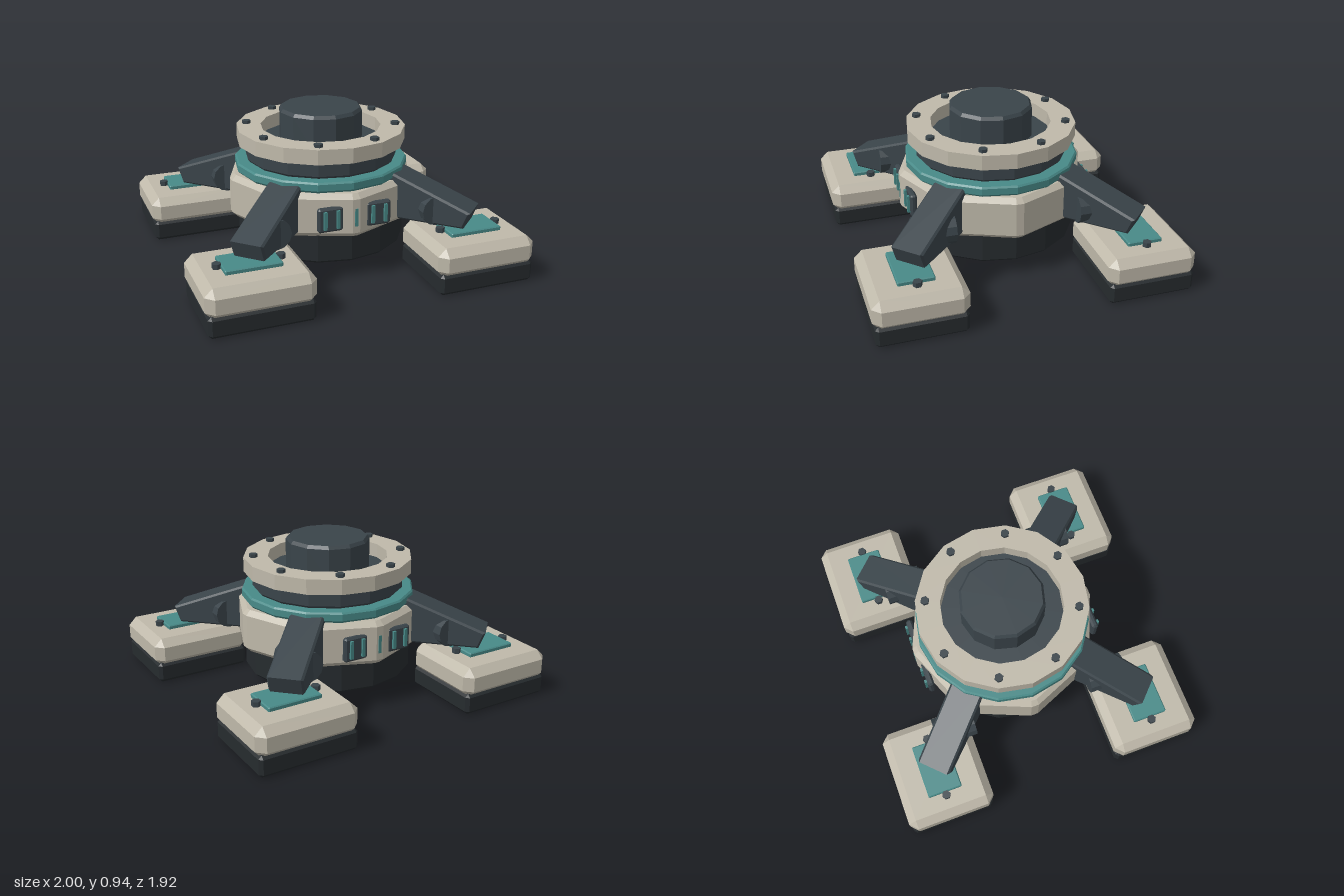
import * as THREE from 'three';
import { ConvexGeometry } from 'three/addons/geometries/ConvexGeometry.js';

const mat = (color) => new THREE.MeshStandardMaterial({ color, flatShading: true });

export function createModel() {
  const model = new THREE.Group();
  const beige = mat(0xbfb9aa), dark = mat(0x3a444a), black = mat(0x262b2e), teal = mat(0x488a88);

  const add = (name, geometry, material, x = 0, y = 0, z = 0, parent = model) => {
    const mesh = new THREE.Mesh(geometry, material);
    mesh.name = name;
    mesh.position.set(x, y, z);
    parent.add(mesh);
    return mesh;
  };

  // Box with every edge and corner chamfered
  const chamferBox = (w, h, d, b) => {
    const points = [];
    for (const sx of [-1, 1]) for (const sy of [-1, 1]) for (const sz of [-1, 1]) {
      for (let axis = 0; axis < 3; axis++) {
        const inset = [b, b, b];
        inset[axis] = 0;
        points.push(new THREE.Vector3(
          sx * (w / 2 - inset[0]), sy * (h / 2 - inset[1]), sz * (d / 2 - inset[2])));
      }
    }
    return new ConvexGeometry(points);
  };

  // Faceted turned part from [radius, height] pairs, bottom to top
  const turned = (profile, sides) =>
    new THREE.LatheGeometry(profile.map(([r, y]) => new THREE.Vector2(r, y)), sides);

  const bolt = new THREE.CylinderGeometry(0.027, 0.027, 0.03, 6);

  // Central column
  add('baseDrum', turned([[0, 0.105], [0.51, 0.105], [0.525, 0.12], [0.525, 0.29], [0, 0.29]], 16), black);

  // Eight-sided hull with narrow bevelled corners
  const outline = [];
  for (let i = 0; i < 8; i++) for (const side of [-1, 1]) {
    const a = i * Math.PI / 4 + side * 0.04;
    outline.push(new THREE.Vector2(Math.cos(a) * 0.588, Math.sin(a) * 0.588));
  }
  const hull = new THREE.ExtrudeGeometry(new THREE.Shape(outline), {
    depth: 0.21, bevelEnabled: true, bevelSegments: 1,
    bevelThickness: 0.03, bevelSize: 0.03, bevelOffset: -0.03,
  });
  hull.rotateX(-Math.PI / 2);
  add('hull', hull, beige, 0, 0.315, 0);

  add('tealCollar', turned([[0, 0.53], [0.5, 0.53], [0.54, 0.57], [0.54, 0.61], [0.53, 0.62], [0, 0.62]], 16), teal);
  add('neck', turned([[0, 0.615], [0.455, 0.615], [0.473, 0.635], [0.473, 0.73], [0, 0.73]], 16), dark);
  add('topRing', turned([[0.374, 0.725], [0.525, 0.725], [0.525, 0.817], [0.374, 0.817], [0.374, 0.725]], 16), beige);
  add('cap', turned([[0.26, 0.72], [0.26, 0.915], [0.245, 0.935], [0, 0.935]], 12), dark);

  for (let i = 0; i < 8; i++) {
    const a = (i + 0.5) * Math.PI / 4;
    add('ringBolt', bolt, dark, Math.cos(a) * 0.463, 0.822, Math.sin(a) * 0.463);
  }

  // Vents on front and back
  const frame = chamferBox(0.16, 0.15, 0.04, 0.012);
  const slit = new THREE.BoxGeometry(0.02, 0.11, 0.04);
  for (const s of [-1, 1]) {
    for (const x of [-0.15, 0.15]) {
      add('ventFrame', frame, dark, x, 0.41, s * 0.55);
      for (const dx of [-0.04, 0.04]) add('ventSlit', slit, teal, x + dx, 0.413, s * 0.565);
    }
    add('centreSlit', slit, teal, 0, 0.413, s * 0.57);
  }

  // Leg side profile, along radius and height
  const legShape = new THREE.Shape([
    [0.42, 0.4], [0.56, 0.31], [0.966, 0.31], [1.005, 0.412], [0.46, 0.618], [0.42, 0.618],
  ].map(([r, y]) => new THREE.Vector2(r, y)));
  const legGeometry = new THREE.ExtrudeGeometry(legShape, {
    depth: 0.184, bevelEnabled: true, bevelSegments: 1,
    bevelThickness: 0.012, bevelSize: 0.012, bevelOffset: -0.012,
  });
  legGeometry.translate(0, 0, -0.092);

  const pivot = new THREE.CylinderGeometry(0.093, 0.093, 0.245, 12);
  pivot.rotateX(Math.PI / 2);
  const footTop = chamferBox(0.63, 0.185, 0.55, 0.048);
  const footSole = chamferBox(0.61, 0.13, 0.53, 0.02);
  const plate = chamferBox(0.33, 0.03, 0.215, 0.006);

  // Four legs with feet
  for (const sx of [-1, 1]) for (const sz of [-1, 1]) {
    const assembly = new THREE.Group();
    assembly.name = 'legAssembly';
    model.add(assembly);
    const x = sx * 0.685, z = sz * 0.685;
    const leg = add('leg', legGeometry, dark, 0, 0, 0, assembly);
    leg.rotation.y = Math.atan2(-sz, sx);
    add('pivot', pivot, dark, sx * 0.505, 0.395, sz * 0.503, assembly);
    add('footTop', footTop, beige, x, 0.1925, z, assembly);
    add('footSole', footSole, black, x, 0.065, z, assembly);
    add('footPlate', plate, teal, x, 0.295, z, assembly);
    for (const dx of [-0.185, 0.185]) add('footBolt', bolt, dark, x + dx, 0.3, z, assembly);
  }
  return model;
}
